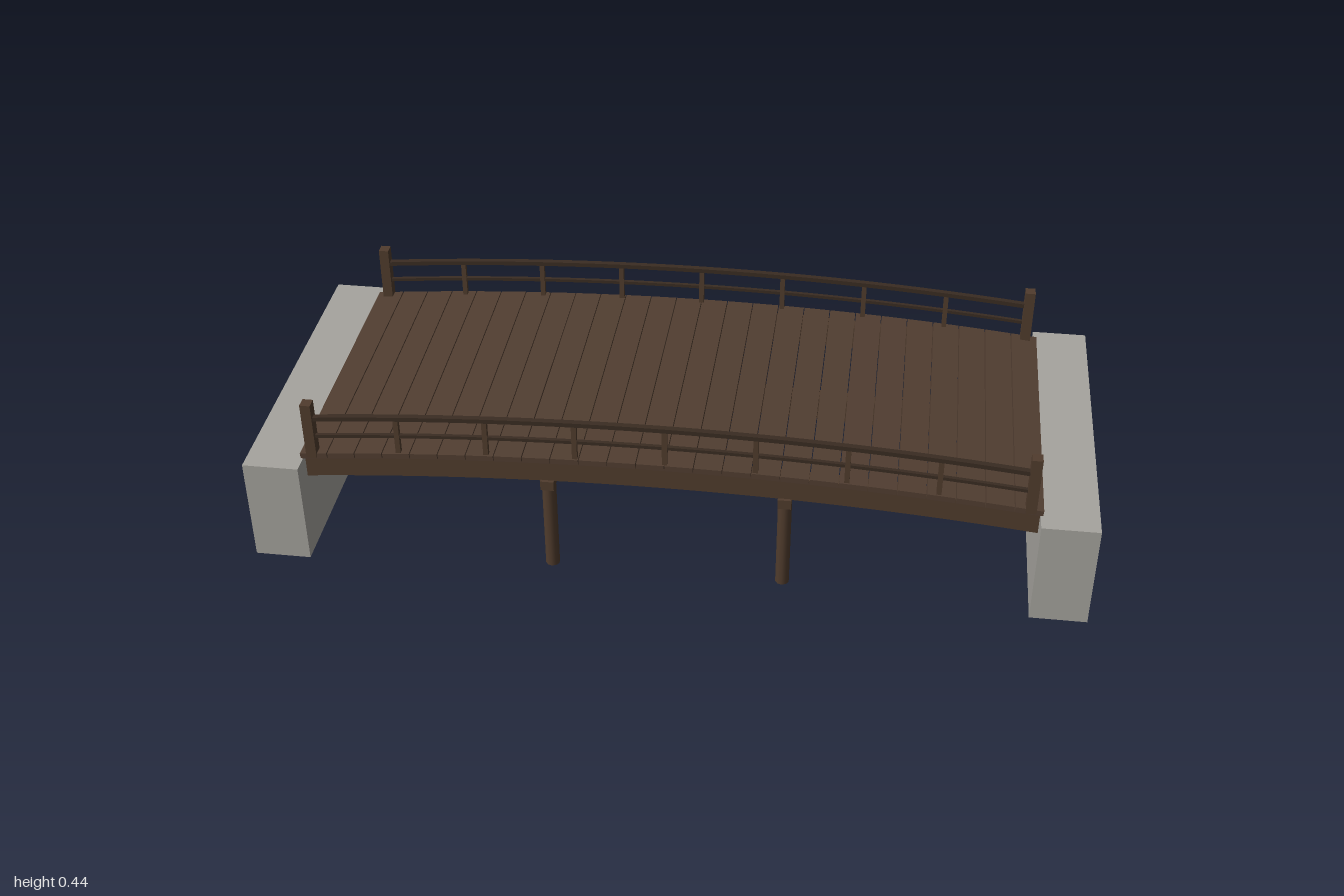
import * as THREE from 'three';

const material = (name, color) => {
  const m = new THREE.MeshStandardMaterial({ color });
  m.name = name;
  return m;
};

export function createModel() {
  const bridge = new THREE.Group();
  bridge.name = 'footbridge';
  const stone = material('stone grey', 0xa6a49e);
  const plankWood = material('plank brown', 0x513e31);
  const beamWood = material('beam brown', 0x503c2d);
  const railWood = material('dark rail brown', 0x3a2c22);

  // Drop of the arched deck at distance x from the middle
  const drop = (x) => 0.046 * (x / 0.87) ** 2;

  const add = (name, geometry, mat, x, y, z) => {
    const mesh = new THREE.Mesh(geometry, mat);
    mesh.name = name;
    mesh.position.set(x, y, z);
    bridge.add(mesh);
    return mesh;
  };
  const box = (name, mat, w, h, d, x, y, z) =>
    add(name, new THREE.BoxGeometry(w, h, d), mat, x, y, z);

  // Arched bar running along x, from bottom to top height at midspan
  const archedBar = (name, mat, half, bottom, top, width, z) => {
    const n = 24;
    const upper = [], lower = [];
    for (let i = 0; i <= n; i++) {
      const x = -half + (2 * half * i) / n;
      lower.push(new THREE.Vector2(x, bottom - drop(x)));
      upper.unshift(new THREE.Vector2(x, top - drop(x)));
    }
    const geometry = new THREE.ExtrudeGeometry(new THREE.Shape([...lower, ...upper]),
      { depth: width, bevelEnabled: false });
    add(name, geometry, mat, 0, 0, z - width / 2);
  };

  // Stone abutments
  for (const s of [-1, 1]) box('abutment', stone, 0.135, 0.267, 0.824, s * 0.9325, 0.1475, 0);

  // Deck planks, each tilted to follow the arch
  const planks = 26, pitch = 1.744 / planks;
  for (let i = 0; i < planks; i++) {
    const x = (i + 0.5 - planks / 2) * pitch;
    const plank = box('deckPlank', plankWood, pitch - 0.002, 0.014, 0.734, x, 0.333 - drop(x), 0);
    plank.rotation.z = -Math.atan((2 * 0.046 * x) / 0.87 ** 2);
  }

  // Long beams under the deck
  for (const z of [-0.335, 0, 0.335]) archedBar('deckBeam', beamWood, 0.866, 0.265, 0.326, 0.035, z);

  // Piers: two round legs and a cross beam
  for (const x of [-0.28, 0.28]) {
    box('crossBeam', beamWood, 0.032, 0.025, 0.72, x, 0.249, 0);
    for (const z of [-0.335, 0.335])
      add('pierLeg', new THREE.CylinderGeometry(0.017, 0.017, 0.25, 10), beamWood, x, 0.125, z);
  }

  // Railings on both sides
  for (const s of [-1, 1]) {
    const z = s * 0.357;
    archedBar('handrail', railWood, 0.842, 0.431, 0.442, 0.014, z);
    archedBar('middleRail', railWood, 0.842, 0.382, 0.39, 0.009, z);
    for (const x of [-0.842, 0.842]) box('endPost', beamWood, 0.025, 0.15, 0.027, x, 0.362, z);
    for (let i = -3; i <= 3; i++) {
      const x = i * 0.2105;
      box('railPost', beamWood, 0.012, 0.1, 0.012, x, 0.386 - drop(x), z);
    }
  }
  return bridge;
}
